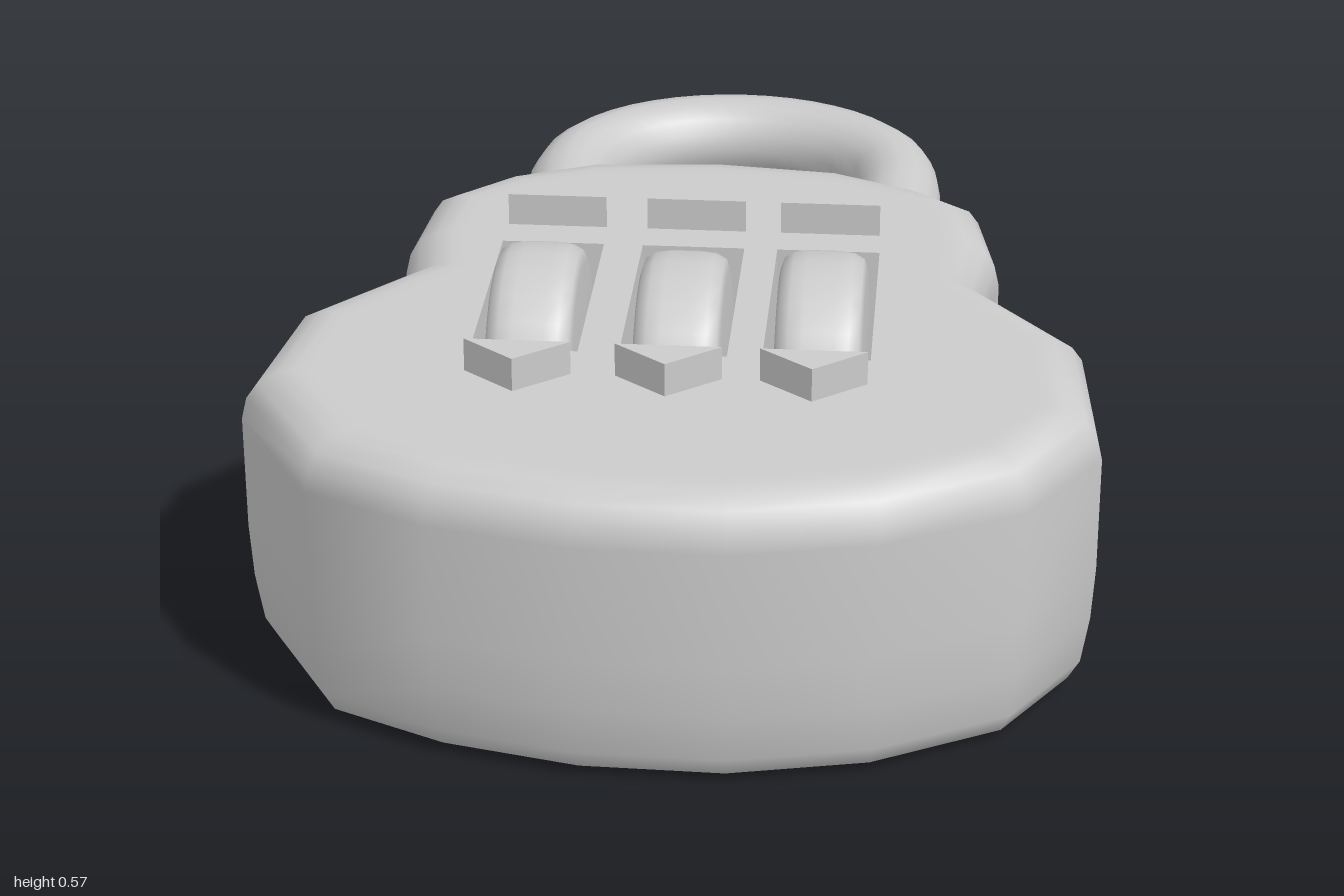
import * as THREE from 'three';

const grey = new THREE.MeshStandardMaterial({ color: 0xcccccc });
const greyBoth = new THREE.MeshStandardMaterial({ color: 0xcccccc, side: THREE.DoubleSide });

// Body outline seen from above as [x, z], from the back round by +x to the front
const OUTLINE = [
  [0.01, -0.325], [0.23, -0.3], [0.38, -0.23], [0.475, -0.15], [0.505, 0.03], [0.485, 0.17],
  [0.645, 0.375], [0.665, 0.65], [0.55, 0.83], [0.34, 0.945], [0.115, 0.995], [-0.115, 0.99],
  [-0.335, 0.94], [-0.53, 0.85], [-0.67, 0.615], [-0.635, 0.355], [-0.48, 0.17],
  [-0.495, 0.06], [-0.48, -0.125], [-0.37, -0.235], [-0.22, -0.305],
].map(([x, z]) => new THREE.Vector2(x, z));

// Rounded side section as [inset, y]
const SECTION = [
  [0.1, 0], [0.07, 0], [0.035, 0.016], [0.017, 0.05], [0.005, 0.13], [0, 0.22],
  [0, 0.41], [0.008, 0.445], [0.025, 0.47], [0.055, 0.487], [0.08, 0.49], [0.1, 0.49],
];
const TOP = 0.49;
const DIAL_X = [-0.24, -0.005, 0.22];
const SLOT = { width: 0.17, length: 0.41, z: 0.295, depth: 0.2 };

function add(parent, name, geometry, material = grey) {
  const mesh = new THREE.Mesh(geometry, material);
  mesh.name = name;
  parent.add(mesh);
  return mesh;
}

// Moves every outline edge inwards by d, keeping mitred corners
function inset(points, d) {
  const n = points.length;
  const normal = (a, b) => new THREE.Vector2(b.y - a.y, a.x - b.x).normalize();
  return points.map((p, i) => {
    const n1 = normal(points[(i + n - 1) % n], p);
    const n2 = normal(p, points[(i + 1) % n]);
    const miter = n1.clone().add(n2).divideScalar(1 + n1.dot(n2));
    return p.clone().addScaledVector(miter, -d);
  });
}

// Side wall lofted through inset copies of the outline
function sideGeometry() {
  const n = OUTLINE.length, positions = [], index = [];
  SECTION.forEach(([d, y], row) => {
    inset(OUTLINE, d).forEach((p, i) => {
      positions.push(p.x, y, p.y);
      if (row === SECTION.length - 1) return;
      const a = row * n + i, b = row * n + (i + 1) % n;
      index.push(a, a + n, b, b, a + n, b + n);
    });
  });
  const geometry = new THREE.BufferGeometry();
  geometry.setAttribute('position', new THREE.Float32BufferAttribute(positions, 3));
  geometry.setIndex(index);
  geometry.computeVertexNormals();
  return geometry;
}

// Flat top with a rectangular hole for each dial
function topGeometry() {
  const shape = new THREE.Shape(inset(OUTLINE, 0.1).map((p) => new THREE.Vector2(p.x, -p.y)));
  for (const x of DIAL_X) {
    const w = SLOT.width / 2, l = SLOT.length / 2, z = -SLOT.z;
    shape.holes.push(new THREE.Path([
      new THREE.Vector2(x - w, z - l), new THREE.Vector2(x - w, z + l),
      new THREE.Vector2(x + w, z + l), new THREE.Vector2(x + w, z - l),
    ]));
  }
  return new THREE.ShapeGeometry(shape).rotateX(-Math.PI / 2).translate(0, TOP, 0);
}

// Box without its upper face
function pocketGeometry() {
  const box = new THREE.BoxGeometry(SLOT.width, SLOT.depth, SLOT.length);
  box.setIndex([...box.index.array].filter((_, i) => i < 12 || i >= 18));
  box.clearGroups();
  return box;
}

// Number wheel with rounded rims, axle along x
function wheelGeometry() {
  const r = 0.202, w = 0.07;
  const profile = [
    [0, -w], [r - 0.03, -w], [r - 0.012, -w + 0.006], [r - 0.003, -w + 0.022], [r, -w + 0.045],
    [r, w - 0.045], [r - 0.003, w - 0.022], [r - 0.012, w - 0.006], [r - 0.03, w], [0, w],
  ].map(([x, y]) => new THREE.Vector2(x, y));
  return new THREE.LatheGeometry(profile, 24).rotateZ(Math.PI / 2);
}

// Triangular pointer, tip towards the back
function arrowGeometry() {
  const shape = new THREE.Shape([
    new THREE.Vector2(-0.083, -0.033), new THREE.Vector2(0.083, -0.033), new THREE.Vector2(0, 0.033),
  ]);
  return new THREE.ExtrudeGeometry(shape, { depth: 0.065, bevelEnabled: false }).rotateX(-Math.PI / 2);
}

// Bent rod: two straight legs joined by a half ellipse
function shackleGeometry() {
  const cx = 0.012, rx = 0.307, y = 0.272, bend = -0.66, points = [];
  const legZ = [-0.1, -0.25, -0.4, -0.55];
  for (const z of legZ) points.push(new THREE.Vector3(cx + rx, y, z));
  for (let i = 0; i <= 8; i++) {
    const a = (i / 8) * Math.PI;
    points.push(new THREE.Vector3(cx + rx * Math.cos(a), y, bend - 0.262 * Math.sin(a)));
  }
  for (const z of legZ.reverse()) points.push(new THREE.Vector3(cx - rx, y, z));
  return new THREE.TubeGeometry(new THREE.CatmullRomCurve3(points), 48, 0.078, 16);
}

export function createModel() {
  const lock = new THREE.Group();
  lock.name = 'combinationPadlock';

  // Case
  const body = new THREE.Group();
  body.name = 'body';
  lock.add(body);
  add(body, 'bodySide', sideGeometry());
  add(body, 'bodyTop', topGeometry());
  const base = new THREE.Shape(inset(OUTLINE, 0.1));
  add(body, 'bodyBase', new THREE.ShapeGeometry(base).rotateX(Math.PI / 2));

  // Shackle
  add(lock, 'shackle', shackleGeometry());

  // Dials, each in its pocket between two pointers
  DIAL_X.forEach((x, i) => {
    const dial = new THREE.Group();
    dial.name = 'dial' + (i + 1);
    dial.position.x = x;
    lock.add(dial);
    add(dial, 'pocket', pocketGeometry(), greyBoth).position.set(0, TOP - SLOT.depth / 2, SLOT.z);
    add(dial, 'wheel', wheelGeometry()).position.set(0, i === 1 ? 0.357 : 0.365, SLOT.z + 0.003);
    add(dial, 'backArrow', arrowGeometry()).position.set(0, TOP - 0.01, -0.012);
    const front = add(dial, 'frontArrow', arrowGeometry());
    front.position.set(0, TOP - 0.01, 0.613);
    front.rotation.y = Math.PI;
  });
  return lock;
}
